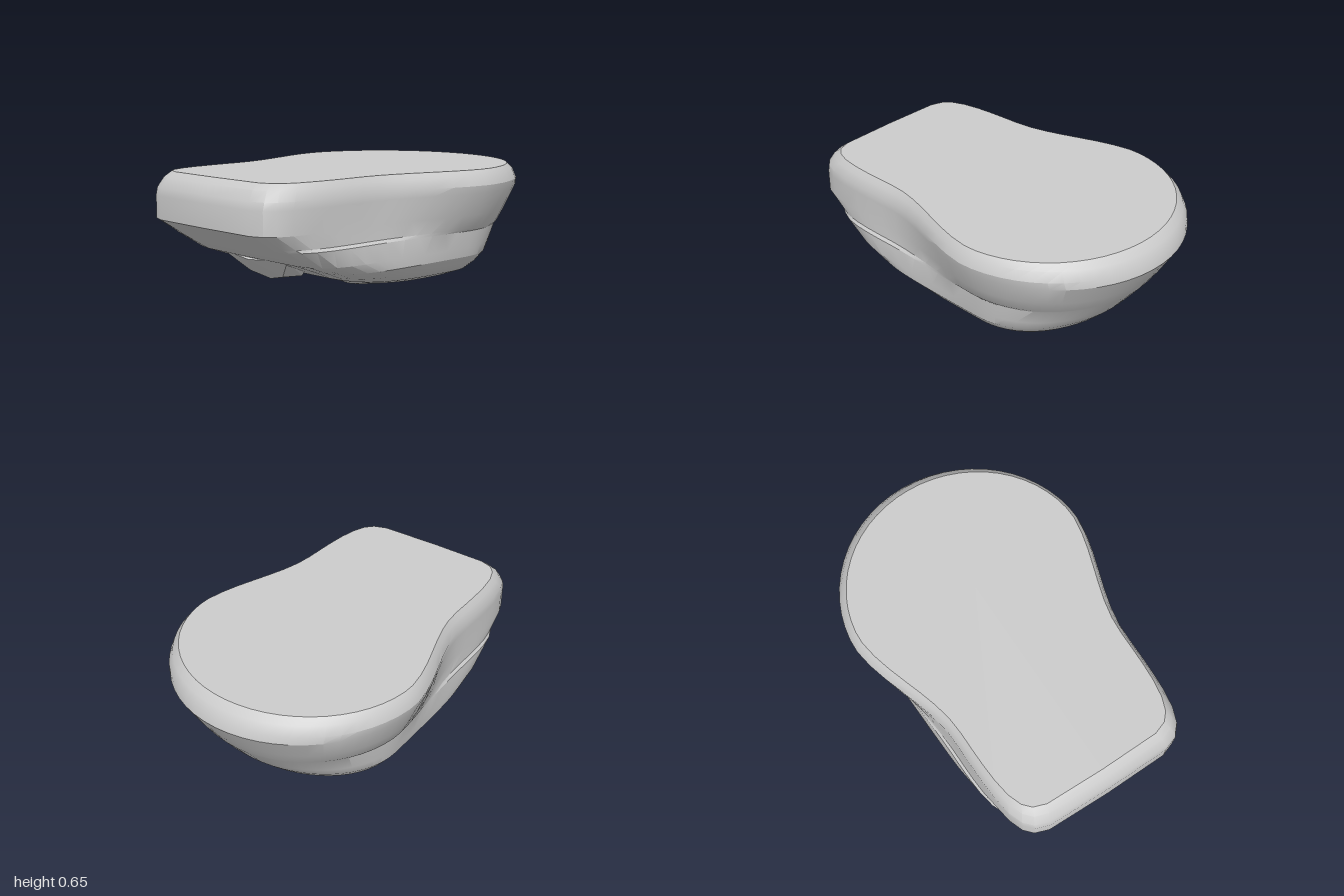
import * as THREE from 'three';
import { toCreasedNormals } from 'three/addons/utils/BufferGeometryUtils.js';
import { ConvexGeometry } from 'three/addons/geometries/ConvexGeometry.js';

const material = new THREE.MeshStandardMaterial({ color: 0xcccccc });

// Horizontal outlines, top to bottom:
// height, front z, back z, belly half-width, neck half-width, front squareness
const levels = [
  [0.65, 0.92, -0.92, 0.66, 0.49, 8],
  [0.62, 0.96, -0.96, 0.685, 0.51, 8],
  [0.57, 0.99, -0.99, 0.70, 0.53, 8],
  [0.53, 1.00, -1.00, 0.69, 0.53, 8],
  [0.41, 1.00, -0.93, 0.64, 0.53, 8],
  [0.335, 0.88, -0.88, 0.605, 0.535, 8],
  [0.32, 0.855, -0.87, 0.59, 0.55, 8],
  [0.23, 0.71, -0.80, 0.58, 0.56, 7],
  [0.18, 0.57, -0.76, 0.57, 0.56, 6],
  [0.13, 0.43, -0.71, 0.53, 0.52, 5],
  [0.09, 0.32, -0.66, 0.48, 0.47, 4],
  [0.05, 0.18, -0.58, 0.37, 0.37, 3],
  [0.015, 0.06, -0.48, 0.23, 0.23, 2.5],
  [0, 0.03, -0.42, 0.16, 0.16, 2],
];

// One closed outline: squared neck in front, round bowl behind
function outline([y, front, back, belly, neck, n]) {
  const mid = -0.3, half = [];
  for (const t of [1, 0.995, 0.975, 0.94, 0.88, 0.8, 0.72, 0.64, 0.56, 0.48, 0.4, 0.32, 0.24, 0.16, 0.08, 0]) {
    const z = mid + (front - mid) * t;
    const width = THREE.MathUtils.lerp(belly, neck, THREE.MathUtils.smoothstep(z, -0.35, 0.38));
    half.push([width * Math.pow(1 - Math.pow(t, n), 1 / n), y, z]);
  }
  for (let i = 1; i <= 14; i++) {
    const a = (i / 14) * Math.PI / 2;
    half.push([belly * Math.cos(a), y, mid + (back - mid) * Math.sin(a)]);
  }
  const mirrored = half.slice(1, -1).reverse().map(([x, h, z]) => [-x, h, z]);
  return [...half, ...mirrored];
}

// Skin the outlines and close the flat deck and the keel
function hullGeometry() {
  const rings = levels.map(outline);
  const n = rings[0].length, last = rings.length - 1, index = [];
  const points = [...rings.flat(), [0, levels[0][0], -0.25], [0, levels[last][0], -0.25]];
  const top = n * rings.length, bottom = top + 1;
  for (let i = 0; i < n; i++) {
    const j = (i + 1) % n;
    for (let r = 0; r < last; r++) {
      const a = r * n + i, b = r * n + j, c = a + n, d = b + n;
      index.push(c, d, b, c, b, a);
    }
    index.push(top, i, j, bottom, last * n + j, last * n + i);
  }
  const geometry = new THREE.BufferGeometry();
  geometry.setAttribute('position', new THREE.Float32BufferAttribute(points.flat(), 3));
  geometry.setIndex(index);
  return toCreasedNormals(geometry, 0.45);
}

// Faceted wedge under the neck
function wedgeGeometry() {
  const points = [[0, 0.22, 0.72], [0, 0.10, 0.57], [0, 0.105, 0.49]];
  for (const s of [-1, 1]) {
    points.push([s * 0.26, 0.235, 0.68], [s * 0.13, 0.13, 0.6], [s * 0.13, 0.12, 0.47], [s * 0.2, 0.3, 0.4]);
  }
  return new ConvexGeometry(points.map((p) => new THREE.Vector3(...p)));
}

export function createModel() {
  const group = new THREE.Group();
  group.name = 'hullBody';
  const add = (name, geometry) => {
    const mesh = new THREE.Mesh(geometry, material);
    mesh.name = name;
    group.add(mesh);
  };
  add('hull', hullGeometry());
  add('undersideWedge', wedgeGeometry());
  return group;
}
